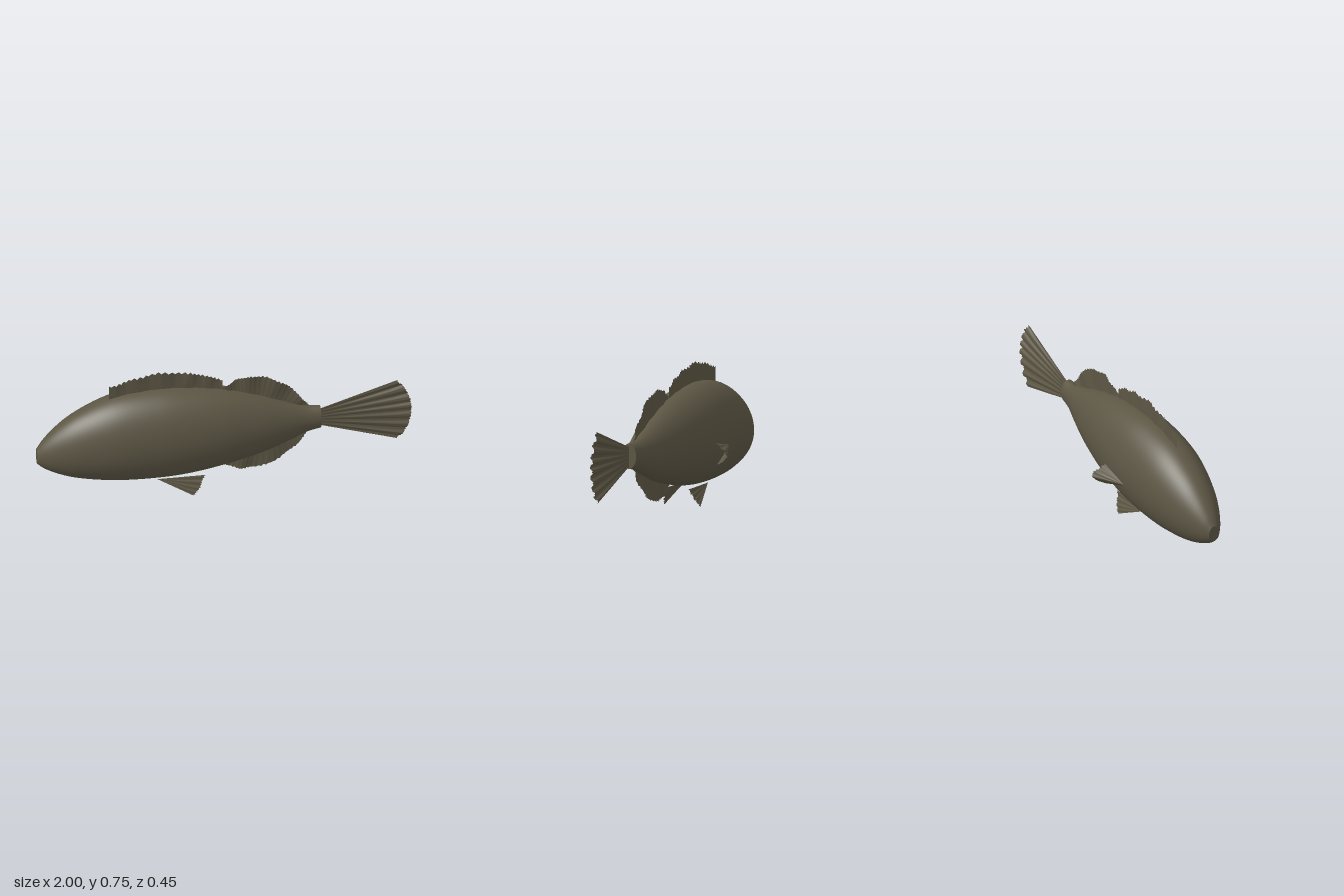
import * as THREE from 'three';
import { mergeVertices } from 'three/addons/utils/BufferGeometryUtils.js';

const MID = 0.037; // z of the body's plane of symmetry

const skin = new THREE.MeshStandardMaterial({ color: 0x5c5644, side: THREE.DoubleSide });
skin.name = 'olive brown skin';

const curve = pts => new THREE.CatmullRomCurve3(pts.map(p => new THREE.Vector3(p[0], p[1], p[2] ?? MID)));

// Body stations from nose to tail: x, top y, bottom y
const profile = new THREE.CatmullRomCurve3([
  [-1, 0.33, 0.24], [-0.965, 0.378, 0.212], [-0.9, 0.445, 0.178], [-0.8, 0.52, 0.144], [-0.6, 0.61, 0.111],
  [-0.37, 0.64, 0.102], [-0.2, 0.632, 0.111], [0, 0.597, 0.143], [0.2, 0.532, 0.19], [0.34, 0.473, 0.24],
  [0.44, 0.438, 0.282], [0.51, 0.43, 0.297],
].map(p => new THREE.Vector3(...p)));

// Centre and half sizes of the oval cross-section at t
function section(t) {
  const p = profile.getPoint(t);
  const h = (p.y - p.z) / 2;
  return { x: p.x, y: (p.y + p.z) / 2, h, w: h * (0.7 - 0.13 * Math.max(0, p.x)) };
}

function makeBody() {
  let g = new THREE.CylinderGeometry(1, 1, 1, 64, 64, true).rotateZ(-Math.PI / 2);
  const pos = g.attributes.position;
  for (let i = 0; i < pos.count; i++) {
    const s = section(pos.getX(i) + 0.5);
    pos.setXYZ(i, s.x, s.y + s.h * pos.getY(i), MID + s.w * pos.getZ(i));
  }
  g.deleteAttribute('uv');
  g.deleteAttribute('normal');
  g = mergeVertices(g, 1e-5);
  g.computeVertexNormals();
  return g;
}

// Flat oval closing one end of the body
function makeCap(t, dir) {
  const s = section(t);
  return new THREE.CircleGeometry(1, 48).rotateY(dir * Math.PI / 2)
    .scale(1, s.h, s.w).translate(s.x, s.y, MID);
}

// Thin rippled sheet from a root curve to a ragged tip curve
function makeFin(root, tip, { rays = 40, jag = 0.03, ripple = 0.004, waves = 6, axis = [0, 0, 1] } = {}) {
  const a = curve(root), b = curve(tip), n = new THREE.Vector3(...axis).normalize();
  const rows = 6, pos = [], idx = [];
  for (let i = 0; i <= rays; i++) {
    const u = i / rays, r = a.getPoint(u), e = b.getPoint(u);
    const ragged = jag * (0.6 * (i % 2) + 0.4 * Math.abs(Math.sin(i * 12.9)));
    e.lerp(r, ragged);
    for (let j = 0; j <= rows; j++) {
      const v = j / rows;
      const wave = ripple * v * (Math.sin(u * waves * Math.PI * 2) + 0.4 * Math.sin(i * 2.3 + v * 2));
      const p = r.clone().lerp(e, v).addScaledVector(n, wave);
      pos.push(p.x, p.y, p.z);
      if (i < rays && j < rows) {
        const k = i * (rows + 1) + j, m = k + rows + 1;
        idx.push(k, m, k + 1, k + 1, m, m + 1);
      }
    }
  }
  const g = new THREE.BufferGeometry();
  g.setAttribute('position', new THREE.Float32BufferAttribute(pos, 3));
  g.setIndex(idx);
  g.computeVertexNormals();
  return g;
}

export function createModel() {
  const fish = new THREE.Group();
  fish.name = 'fish';
  const add = (name, geometry) => {
    const mesh = new THREE.Mesh(geometry, skin);
    mesh.name = name;
    fish.add(mesh);
  };

  add('body', makeBody());
  add('noseCap', makeCap(0, -1));
  add('tailCap', makeCap(1, 1));

  // Fins along the centre line
  add('spinyDorsalFin', makeFin(
    [[-0.615, 0.56], [-0.3, 0.59], [-0.01, 0.56]],
    [[-0.615, 0.69], [-0.5, 0.725], [-0.36, 0.752], [-0.2, 0.735], [-0.1, 0.707], [-0.01, 0.665]],
    { rays: 44, jag: 0.13, waves: 5 }));
  add('softDorsalFin', makeFin(
    [[0, 0.55], [0.2, 0.48], [0.44, 0.41]],
    [[-0.01, 0.61], [0.06, 0.652], [0.14, 0.668], [0.25, 0.642], [0.35, 0.575], [0.42, 0.485], [0.455, 0.435]],
    { rays: 60, jag: 0.06, ripple: 0.006, waves: 4 }));
  add('analFin', makeFin(
    [[-0.03, 0.19], [0.2, 0.25], [0.44, 0.31]],
    [[-0.04, 0.155], [0, 0.108], [0.07, 0.078], [0.14, 0.07], [0.25, 0.095], [0.35, 0.16], [0.42, 0.24], [0.455, 0.29]],
    { rays: 60, jag: 0.06, ripple: 0.006, waves: 4 }));
  add('tailFin', makeFin(
    [[0.5, 0.41], [0.5, 0.36], [0.5, 0.31]],
    [[0.92, 0.55], [0.965, 0.49], [0.992, 0.42], [1, 0.36], [0.992, 0.29], [0.965, 0.22], [0.92, 0.17]],
    { rays: 56, jag: 0.015, ripple: 0.008, waves: 7 }));

  // Pelvic fins, splayed outwards below the belly
  for (const [name, side] of [['leftPelvicFin', 1], ['rightPelvicFin', -1]]) {
    const at = (x, y) => [x, y, MID + side * (0.064 + (0.106 - y) * 0.4)];
    add(name, makeFin(
      [at(-0.37, 0.106), at(-0.365, 0.104)],
      [at(-0.11, 0.104), at(-0.13, 0.062), at(-0.152, 0.026), at(-0.18, 0.004)],
      { rays: 20, jag: 0.05, ripple: 0.003, waves: 4, axis: [0, 0.4, side] }));
  }

  // Single cupped pectoral fin on the far flank
  add('pectoralFin', makeFin(
    [[-0.38, 0.315, -0.146], [-0.375, 0.305, -0.145]],
    [[-0.19, 0.345, -0.15], [-0.175, 0.318, -0.198], [-0.17, 0.285, -0.225], [-0.18, 0.25, -0.195], [-0.195, 0.23, -0.155]],
    { rays: 24, jag: 0.06, ripple: 0.004, waves: 4, axis: [0, 0.7, -0.7] }));

  return fish;
}
